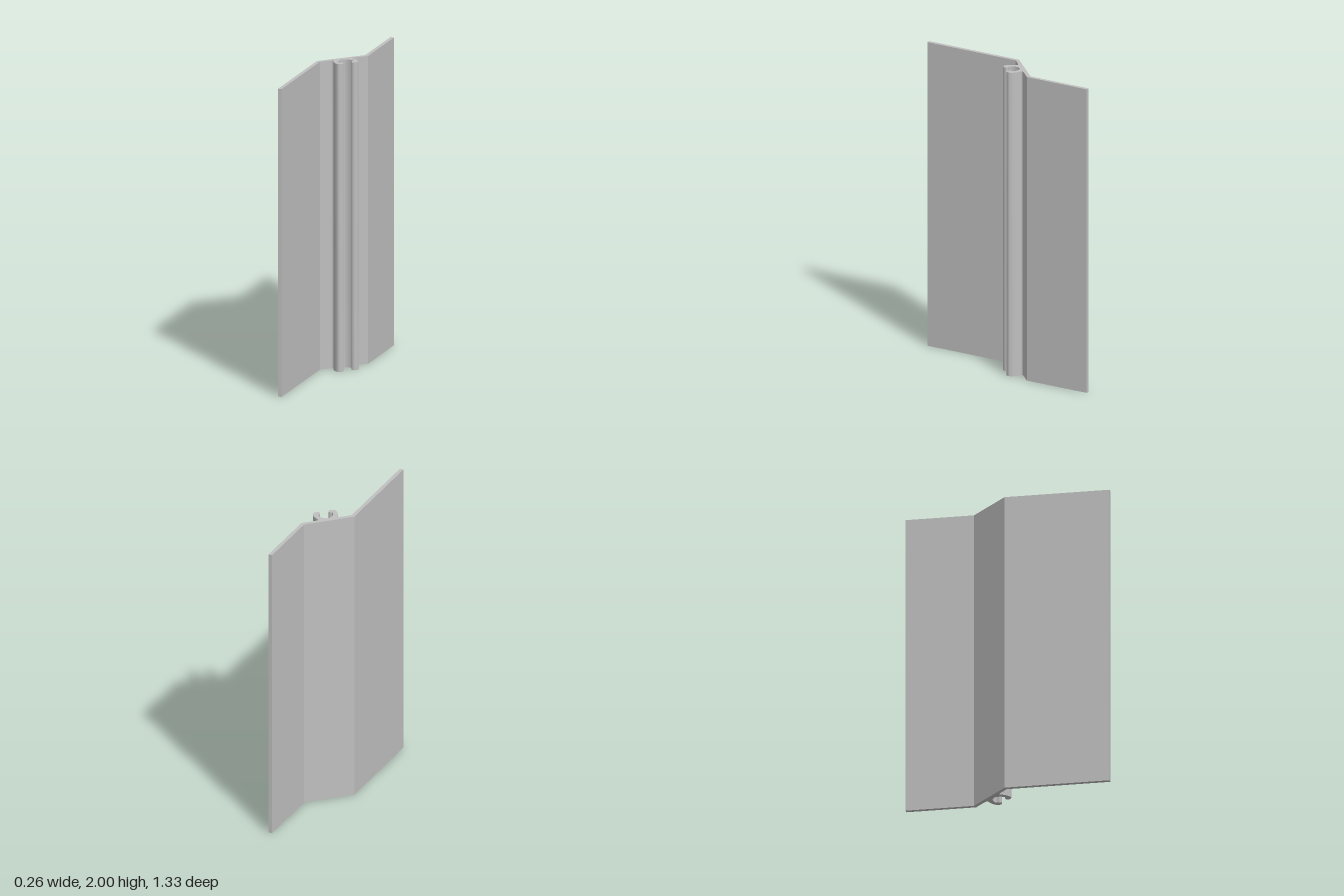
import * as THREE from 'three';
import { toCreasedNormals } from 'three/addons/utils/BufferGeometryUtils.js';

const HEIGHT = 2;
const V = (x, y) => new THREE.Vector2(x, y);

// Extrude a plan outline given as (x, z) points straight up from the floor
function extrudeUp(points, material, name) {
  const shape = new THREE.Shape(points.map((p) => V(p.x, -p.y)));
  const geometry = new THREE.ExtrudeGeometry(shape, { depth: HEIGHT, bevelEnabled: false });
  geometry.rotateX(-Math.PI / 2);
  const mesh = new THREE.Mesh(toCreasedNormals(geometry, 0.6), material);
  mesh.name = name;
  return mesh;
}

// Channel coordinates: u runs along the sloping web, v points away from it
function toPlan([u, v]) {
  const diff = u * Math.SQRT2 + 0.1;
  const sum = v * Math.SQRT2 - 0.095;
  return V((sum + diff) / 2, (sum - diff) / 2);
}

const smooth = (pts, n) =>
  new THREE.SplineCurve(pts.map((p) => V(p[0], p[1]))).getPoints(n).map((p) => [p.x, p.y]);

export function createModel() {
  const group = new THREE.Group();
  group.name = 'hingeProfile';
  const aluminium = new THREE.MeshStandardMaterial({ color: 0xbfbfbf });
  aluminium.name = 'aluminium grey';

  // Two parallel flanges joined by a sloping web
  const plate = [
    V(-0.129, 0.665), V(-0.105, 0.665), V(-0.105, 0.01), V(0.128, -0.223),
    V(0.128, -0.665), V(0.104, -0.665), V(0.104, -0.233), V(-0.129, 0),
  ];
  group.add(extrudeUp(plate, aluminium, 'flangedPlate'));

  // Half of the C-shaped channel: fillet, outer wall, rounded lip, inner wall
  const half = [
    ...smooth([[-0.08, 0], [-0.068, 0.003], [-0.064, 0.009]], 4),
    ...smooth([[-0.066, 0.016], [-0.073, 0.034], [-0.078, 0.066], [-0.068, 0.095],
      [-0.043, 0.101], [-0.028, 0.088], [-0.033, 0.073], [-0.046, 0.066]], 30),
    ...smooth([[-0.049, 0.058], [-0.045, 0.043], [-0.033, 0.025], [-0.016, 0.012], [0, 0.008]], 14),
  ];
  const mirrored = half.slice(0, -1).reverse().map(([u, v]) => [-u, v]);
  group.add(extrudeUp([...half, ...mirrored].map(toPlan), aluminium, 'screwChannel'));

  return group;
}
